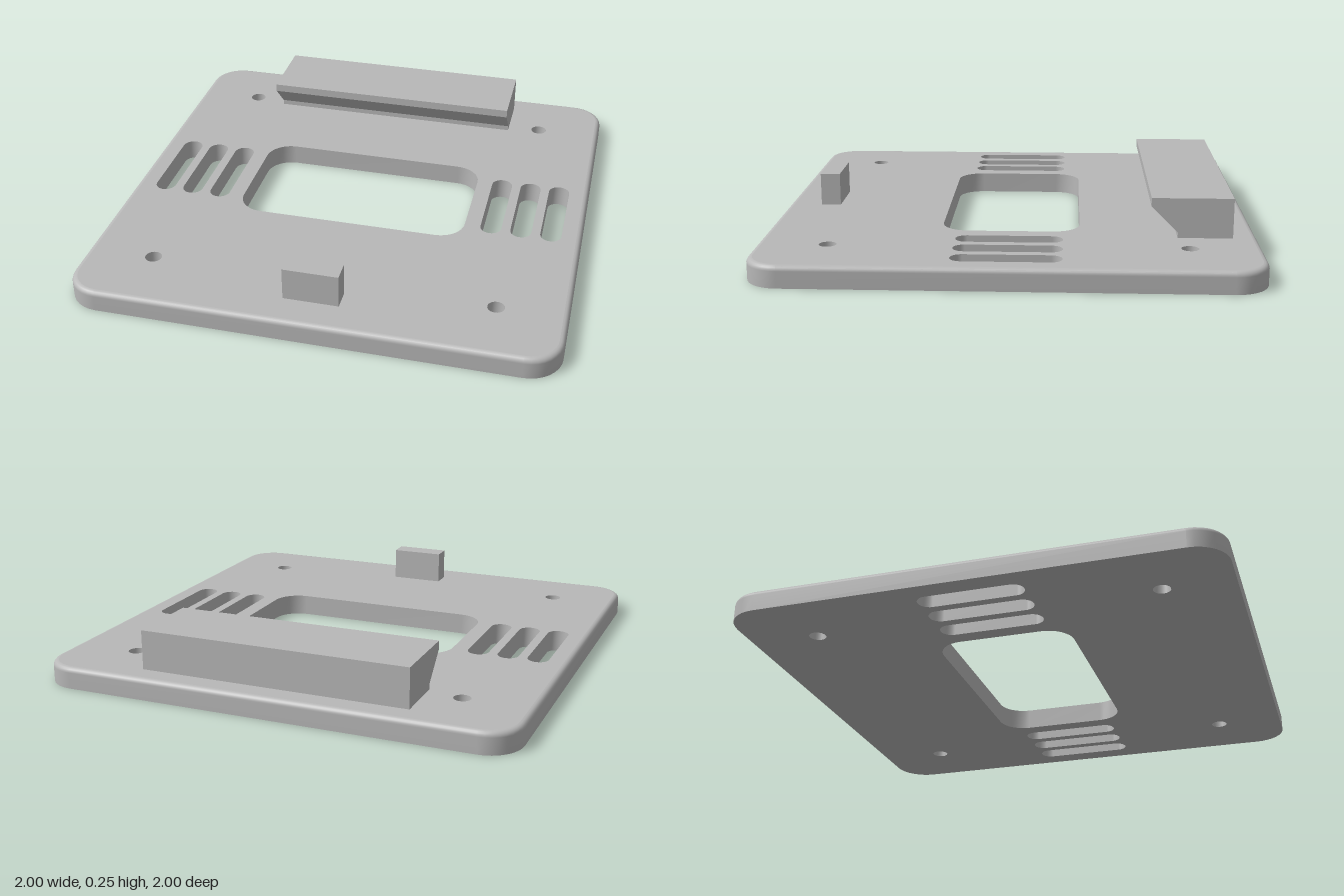
import * as THREE from 'three';
import { mergeGeometries } from 'three/addons/utils/BufferGeometryUtils.js';

const THICK = 0.09, FILLET = 0.022;

// Counter-clockwise rounded rectangle (a slot or circle when r reaches the half size)
function roundedRect(cx, cy, hw, hh, r, n = 8) {
  const pts = [];
  [[1, 1], [-1, 1], [-1, -1], [1, -1]].forEach(([sx, sy], q) => {
    for (let i = 0; i <= n; i++) {
      const a = (q + i / n) * Math.PI / 2;
      pts.push(new THREE.Vector2(
        cx + sx * (hw - r) + r * Math.cos(a),
        cy + sy * (hh - r) + r * Math.sin(a)));
    }
  });
  return pts.filter((p, i) => p.distanceTo(pts[(i + 1) % pts.length]) > 1e-5);
}

// Closed wall through stacked loops; each level is { pts, y }
function wall(levels) {
  const pos = [], uv = [], index = [], n = levels[0].pts.length;
  levels.forEach(({ pts, y }) => pts.forEach((p) => {
    pos.push(p.x, y, -p.y);
    uv.push(0, 0);
  }));
  for (let l = 0; l < levels.length - 1; l++) {
    for (let j = 0; j < n; j++) {
      const a = l * n + j, b = l * n + (j + 1) % n;
      index.push(a, b, b + n, a, b + n, a + n);
    }
  }
  const g = new THREE.BufferGeometry();
  g.setAttribute('position', new THREE.Float32BufferAttribute(pos, 3));
  g.setAttribute('uv', new THREE.Float32BufferAttribute(uv, 2));
  g.setIndex(index);
  g.computeVertexNormals();
  return g;
}

// Flat face with cut-outs
function cap(outline, holes) {
  const shape = new THREE.Shape(outline);
  holes.forEach((h) => shape.holes.push(new THREE.Path(h)));
  return new THREE.ShapeGeometry(shape);
}

function plateGeometry() {
  // Central window, vent slots and screw holes
  const holes = [roundedRect(0, 0, 0.5, 0.285, 0.11)];
  for (const s of [-1, 1]) {
    for (const x of [0.613, 0.742, 0.87]) holes.push(roundedRect(s * x, 0, 0.045, 0.217, 0.045));
    for (const t of [-1, 1]) holes.push(roundedRect(s * 0.715, t * 0.715, 0.035, 0.035, 0.035, 6));
  }
  const outer = (inset) => roundedRect(0, 0, 1 - inset, 1 - inset, 0.14 - inset);

  // Outer side with a rounded upper edge
  const levels = [{ pts: outer(0), y: 0 }];
  for (let i = 0; i <= 5; i++) {
    const a = i / 5 * Math.PI / 2;
    levels.push({
      pts: outer(FILLET * (1 - Math.cos(a))),
      y: THICK - FILLET + FILLET * Math.sin(a),
    });
  }
  return mergeGeometries([
    wall(levels),
    ...holes.map((h) => {
      const pts = [...h].reverse();
      return wall([{ pts, y: 0 }, { pts, y: THICK }]);
    }),
    cap(outer(FILLET), holes).rotateX(-Math.PI / 2).translate(0, THICK, 0),
    cap(outer(0), holes).rotateX(Math.PI / 2),
  ]);
}

// Overhanging rear hook: side profile in (z, y), extruded along x
function hookGeometry() {
  const profile = [[0.9, THICK], [0.9, 0.255], [0.57, 0.255], [0.57, 0.22], [0.678, 0.112], [0.678, THICK]];
  const shape = new THREE.Shape(profile.map(([z, y]) => new THREE.Vector2(z, y)));
  return new THREE.ExtrudeGeometry(shape, { depth: 1.14, bevelEnabled: false })
    .translate(0, 0, -0.57)
    .rotateY(Math.PI / 2);
}

export function createModel() {
  const grey = new THREE.MeshStandardMaterial({ color: 0xb8b8b8 });
  grey.name = 'plain grey';
  const group = new THREE.Group();
  group.name = 'mountingPlate';
  const add = (name, geometry) => {
    const mesh = new THREE.Mesh(geometry, grey);
    mesh.name = name;
    group.add(mesh);
  };

  add('basePlate', plateGeometry());
  add('rearHook', hookGeometry());
  // Small locating post at the front
  add('frontPost', new THREE.BoxGeometry(0.23, 0.14, 0.085).translate(0, 0.16, 0.814));
  return group;
}
